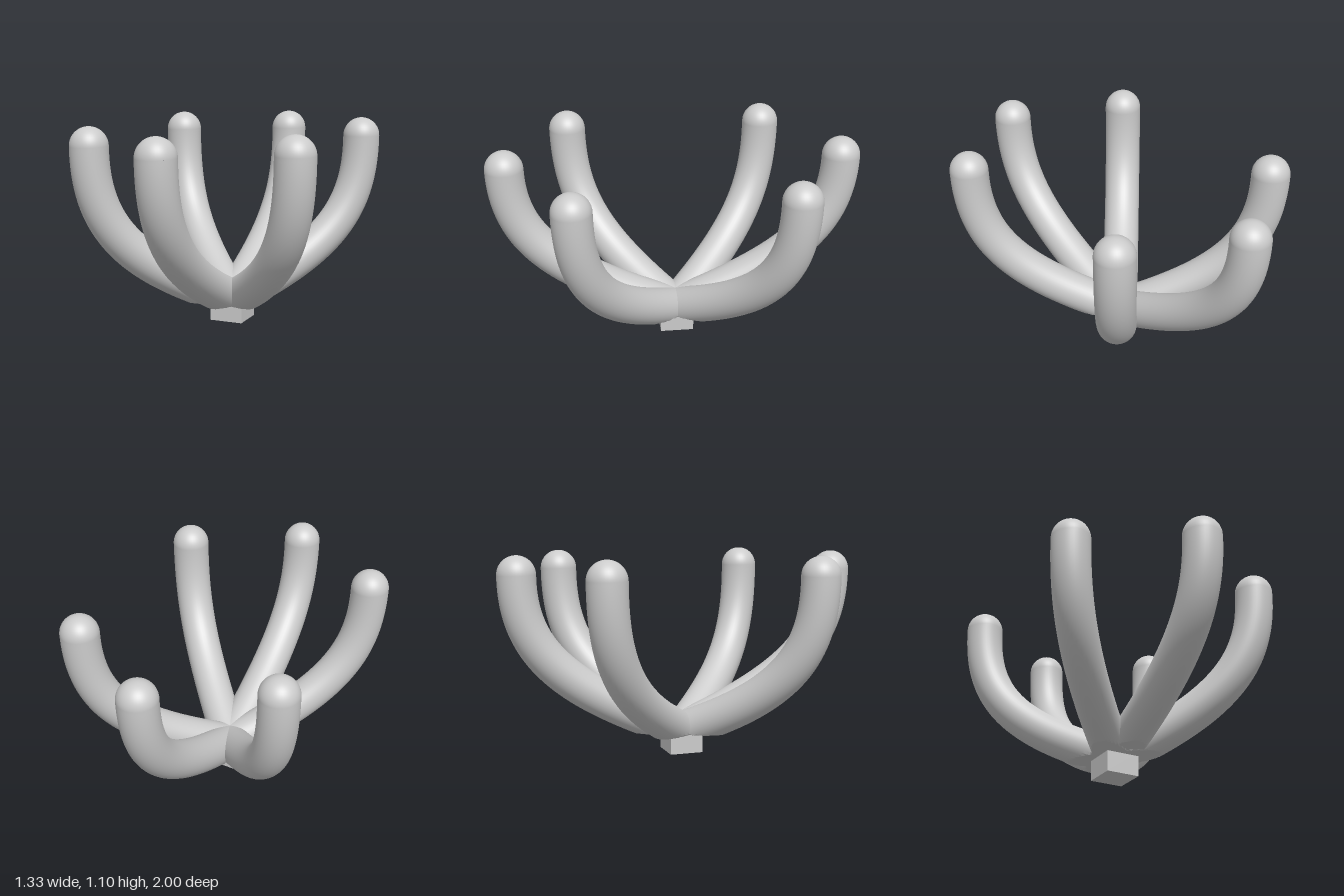
import * as THREE from 'three';
import { toCreasedNormals } from 'three/addons/utils/BufferGeometryUtils.js';

const material = new THREE.MeshStandardMaterial({ color: 0xcccccc });
const RADIUS = 0.102;
const START_Y = 0.114;
const TIP_Y = 0.993;
const SLOPE = 0.39;
const FULLNESS = 0.75;

// A curved prong growing out along +z and bending upright, cut flat at floorY
function createProng(reach, floorY) {
  const prong = new THREE.Group();
  const start = new THREE.Vector3(0, START_Y, 0);
  const bend = new THREE.Vector3(0, START_Y + reach * SLOPE, reach);
  const end = new THREE.Vector3(0, TIP_Y, reach);
  const curve = new THREE.CubicBezierCurve3(
    start,
    start.clone().lerp(bend, FULLNESS),
    end.clone().lerp(bend, FULLNESS),
    end
  );
  const tube = new THREE.TubeGeometry(curve, 72, RADIUS, 40, false);

  // Flatten the underside where it sits over the base
  const pos = tube.attributes.position;
  for (let i = 0; i < pos.count; i++) {
    pos.setY(i, Math.max(pos.getY(i), floorY));
  }
  const stem = new THREE.Mesh(toCreasedNormals(tube, 0.3), material);
  stem.name = 'prongStem';

  // Rounded tip
  const tip = new THREE.Mesh(
    new THREE.SphereGeometry(RADIUS, 40, 12, 0, Math.PI * 2, 0, Math.PI / 2),
    material
  );
  tip.name = 'prongTip';
  tip.position.copy(end);

  prong.add(stem, tip);
  return prong;
}

export function createModel() {
  const model = new THREE.Group();
  model.name = 'prongedHolder';

  // Square mounting block
  const base = new THREE.Mesh(new THREE.BoxGeometry(0.184, 0.13, 0.184), material);
  base.name = 'baseBlock';
  base.position.y = 0.065;
  model.add(base);

  // Long prongs to front and back
  for (const angle of [0, Math.PI]) {
    const prong = createProng(0.898, 0.116);
    prong.name = 'longProng';
    prong.rotation.y = angle;
    model.add(prong);
  }

  // Shorter prongs on the diagonals
  for (let i = 0; i < 4; i++) {
    const prong = createProng(0.793, 0.112);
    prong.name = 'diagonalProng';
    prong.rotation.y = Math.PI / 4 + (i * Math.PI) / 2;
    model.add(prong);
  }

  return model;
}
